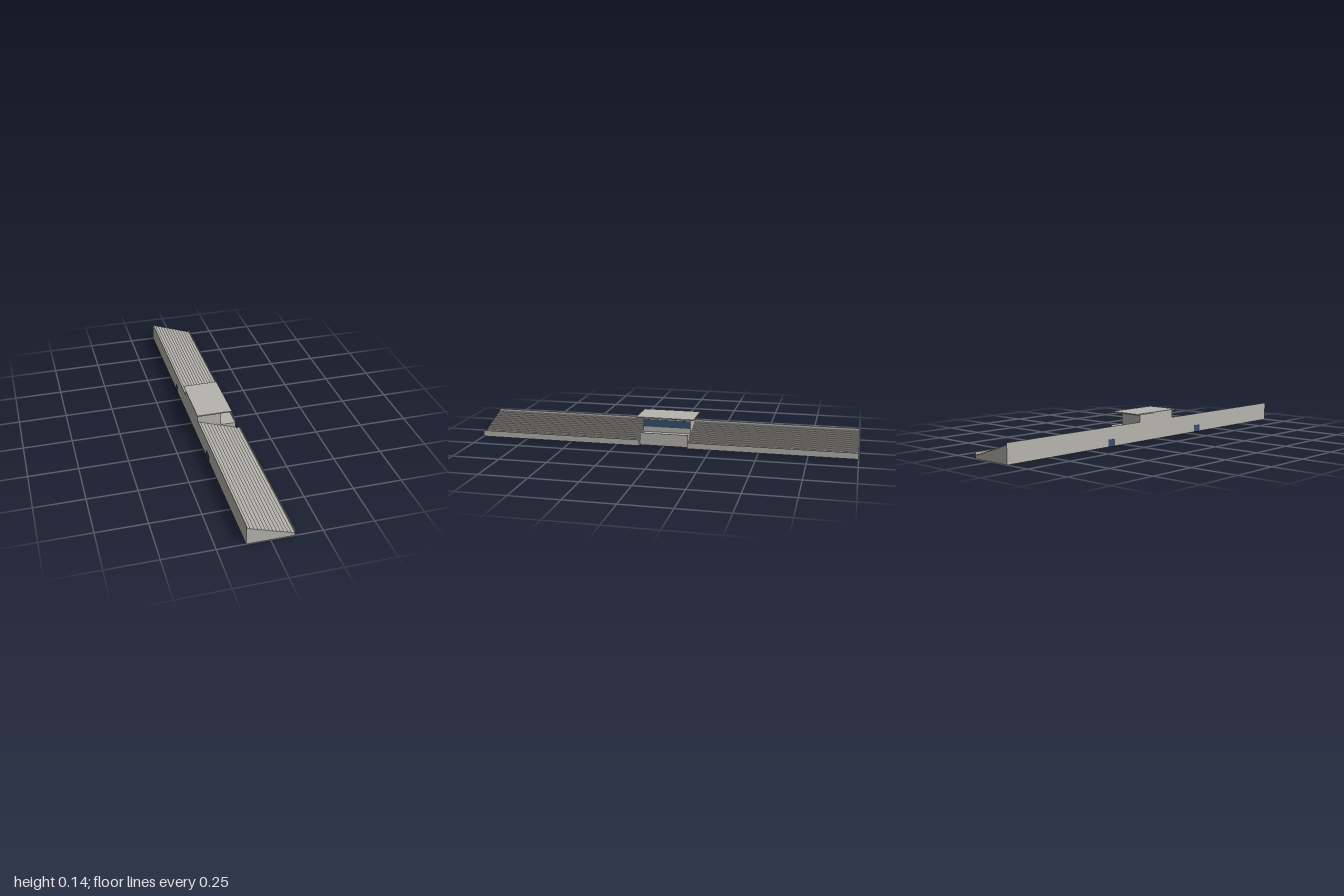
import * as THREE from 'three';

const concrete = new THREE.MeshStandardMaterial({ color: 0xb6b4ae, side: THREE.DoubleSide });
concrete.name = 'concrete';
const glass = new THREE.MeshStandardMaterial({ color: 0x35516f });
glass.name = 'blueGlass';

const BACK = -0.113, FRONT = 0.115, MID = 0.128;

function add(group, name, geometry, material, x = 0, y = 0, z = 0) {
  const mesh = new THREE.Mesh(geometry, material);
  mesh.name = name;
  mesh.position.set(x, y, z);
  group.add(mesh);
  return mesh;
}

// Open-bottomed shell: sweeps an x/y profile from z0 to z1
function shell(profile, z0, z1) {
  const v = [];
  for (let i = 0; i < profile.length - 1; i++) {
    const [px, py] = profile[i], [qx, qy] = profile[i + 1];
    v.push(px, py, z0, px, py, z1, qx, qy, z1);
    v.push(px, py, z0, qx, qy, z1, qx, qy, z0);
  }
  const g = new THREE.BufferGeometry();
  g.setAttribute('position', new THREE.Float32BufferAttribute(v, 3));
  g.computeVertexNormals();
  return g;
}

// Flat cross wall filling a profile, facing +z or -z
function crossWall(group, name, profile, z, facing) {
  const shape = new THREE.Shape(profile.map(([x, y]) => new THREE.Vector2(facing * x, y)));
  const wall = add(group, name, new THREE.ShapeGeometry(shape), concrete, 0, 0, z);
  if (facing < 0) wall.rotation.y = Math.PI;
}

// Back wall, stepped terraces, front walkway and parapet
function standProfile() {
  const p = [[BACK, 0], [BACK, 0.1], [-0.111, 0.1]];
  const steps = 12, top = 0.087, low = 0.018, end = 0.097;
  const tread = (end - BACK) / steps, rise = (top - low) / steps;
  p.push([-0.111, top]);
  for (let i = 1; i <= steps; i++) {
    const x = BACK + tread * i;
    p.push([x, top - rise * (i - 1)], [x, top - rise * i]);
  }
  p.push([0.113, low], [0.113, 0.032], [FRONT, 0.032], [FRONT, 0]);
  return p;
}

export function createModel() {
  const model = new THREE.Group();
  model.name = 'grandstand';
  const profile = standProfile();

  // Two seating wings
  for (const s of [1, -1]) {
    const wing = new THREE.Group();
    wing.name = s > 0 ? 'leftWing' : 'rightWing';
    model.add(wing);
    add(wing, 'terraces', shell(profile, Math.min(s, s * MID), Math.max(s, s * MID)), concrete);
    crossWall(wing, 'outerEndWall', profile, s, s);
    crossWall(wing, 'innerEndWall', profile, s * MID, -s);
    // Passage under the seats, with its door in the back wall
    crossWall(wing, 'passageWallInner', profile, s * 0.312, -s);
    crossWall(wing, 'passageWallOuter', profile, s * 0.362, s);
    add(wing, 'backDoor', new THREE.BoxGeometry(0.002, 0.036, 0.048), glass, BACK - 0.0005, 0.018, s * 0.337);
  }

  // Central block with viewing room and front balcony
  const centre = new THREE.Group();
  centre.name = 'centreBlock';
  model.add(centre);
  const block = [
    [BACK, 0], [BACK, 0.137], [0.014, 0.137], [0.014, 0.052],
    [0.091, 0.052], [0.091, 0.066], [0.094, 0.066], [0.094, 0],
  ];
  add(centre, 'roomAndBalcony', shell(block, -MID, MID), concrete);
  for (const s of [1, -1]) crossWall(centre, 'sideWall', block, s * MID, s);
  add(centre, 'frontWindow', new THREE.BoxGeometry(0.002, 0.04, 0.25), glass, 0.0145, 0.1, 0);
  add(centre, 'roof', new THREE.BoxGeometry(0.183, 0.006, 0.306), concrete, -0.0265, 0.14, 0);

  return model;
}
